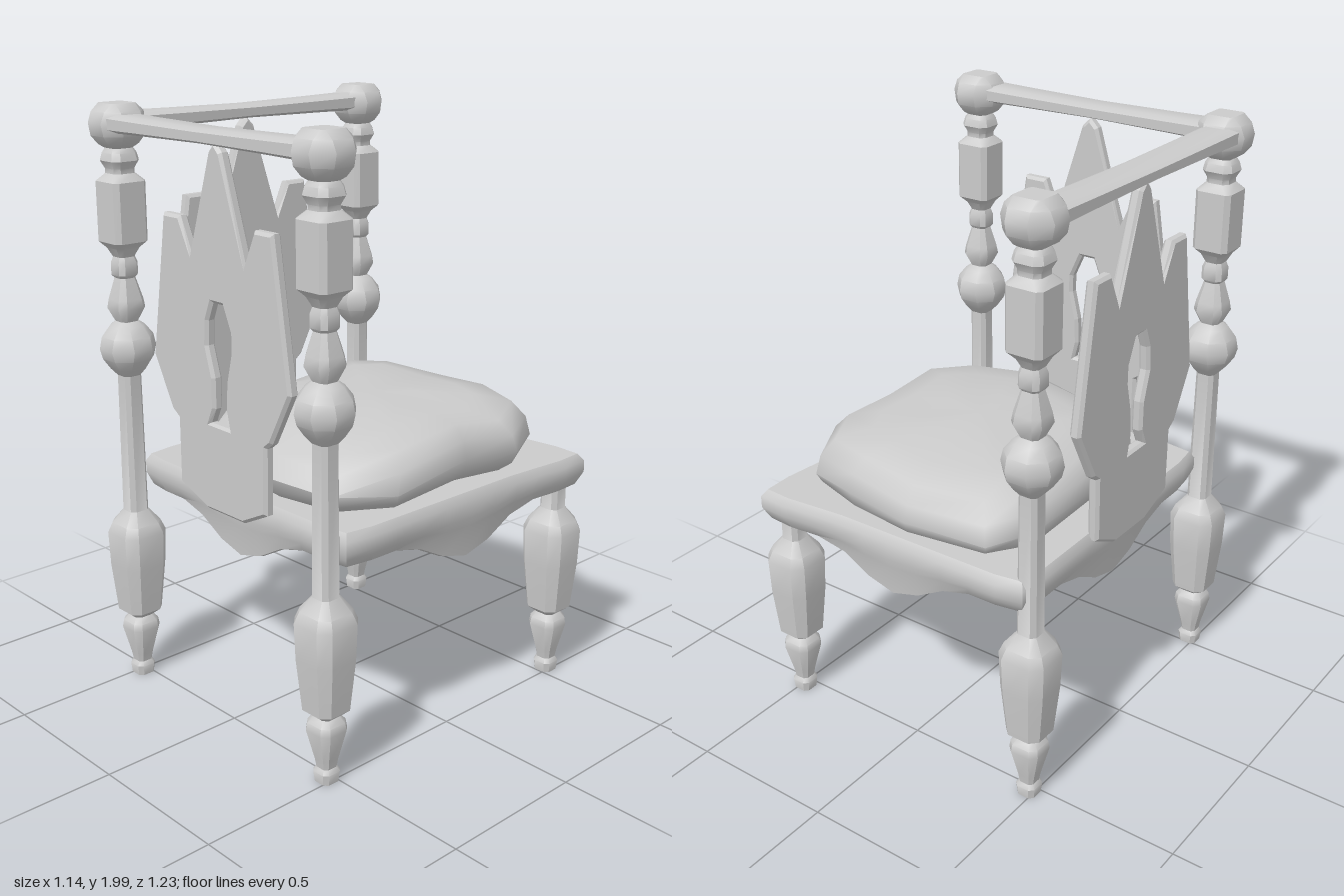
import * as THREE from 'three';
import { toCreasedNormals } from 'three/addons/utils/BufferGeometryUtils.js';

const material = new THREE.MeshStandardMaterial({ color: 0xcccccc });

// Skin stacked rings of [x, y, z] points (counter-clockwise from above, bottom to top), with end caps
function loft(rings, crease = 0.7) {
  const n = rings[0].length, pos = rings.flat(2), idx = [];
  for (let r = 0; r < rings.length - 1; r++) {
    for (let i = 0; i < n; i++) {
      const a = r * n + i, b = r * n + (i + 1) % n;
      idx.push(a, b, b + n, a, b + n, a + n);
    }
  }
  [0, rings.length - 1].forEach((r, end) => {
    const c = pos.length / 3, ring = rings[r];
    for (let k = 0; k < 3; k++) pos.push(ring.reduce((s, p) => s + p[k], 0) / n);
    for (let i = 0; i < n; i++) {
      const a = r * n + i, b = r * n + (i + 1) % n;
      if (end) idx.push(a, b, c); else idx.push(b, a, c);
    }
  });
  const g = new THREE.BufferGeometry();
  g.setAttribute('position', new THREE.Float32BufferAttribute(pos, 3));
  g.setIndex(idx);
  return toCreasedNormals(g, crease);
}

// Square ring with chamfered corners
function square(y, rx, rz = rx, c = 0.6) {
  return [[1, c], [1, -c], [c, -1], [-c, -1], [-1, -c], [-1, c], [-c, 1], [c, 1]]
    .map(([x, z]) => [x * rx, y, z * rz]);
}

function add(parent, name, geometry) {
  const m = new THREE.Mesh(geometry, material);
  m.name = name;
  parent.add(m);
  return m;
}

// Turned profiles: height, half width, chamfer
const legProfile = [
  [0, 0.032], [0.035, 0.036], [0.05, 0.027], [0.08, 0.032], [0.18, 0.055], [0.205, 0.051],
  [0.225, 0.035], [0.25, 0.064], [0.42, 0.08], [0.54, 0.084], [0.575, 0.07], [0.62, 0.036],
];
const postProfile = [
  ...legProfile,
  [1.1, 0.033], [1.125, 0.055, 0.5], [1.16, 0.078, 0.45], [1.195, 0.088, 0.4], [1.235, 0.078, 0.45],
  [1.27, 0.052, 0.5], [1.285, 0.032], [1.33, 0.053], [1.36, 0.048], [1.43, 0.029], [1.44, 0.037],
  [1.48, 0.037], [1.5, 0.03], [1.53, 0.046], [1.55, 0.063, 0.75], [1.745, 0.063, 0.75], [1.77, 0.04],
  [1.785, 0.04], [1.81, 0.053], [1.835, 0.047], [1.85, 0.038],
  [1.862, 0.058, 0.5], [1.89, 0.08, 0.45], [1.93, 0.088, 0.4], [1.965, 0.074, 0.5], [1.99, 0.046, 0.8],
];
const turned = profile => loft(profile.map(([y, r, c]) => square(y, r, r, c)));

// Pointed back panel with a keyhole and softened edges
function panelGeometry() {
  const s = new THREE.Shape([
    [-0.08, 0.735], [0.1, 0.735], [0.21, 0.79], [0.215, 1.01], [0.24, 1.03], [0.33, 1.2], [0.26, 1.67],
    [0.175, 1.67], [0.13, 1.56], [0.03, 1.88], [0, 1.91], [-0.03, 1.88], [-0.13, 1.56], [-0.18, 1.67],
    [-0.265, 1.67], [-0.34, 1.2], [-0.25, 1.03], [-0.22, 1.01], [-0.22, 0.79],
  ].map(p => new THREE.Vector2(...p)));
  s.holes.push(new THREE.Path([
    [-0.055, 1.03], [-0.03, 1.08], [-0.03, 1.18], [-0.06, 1.28], [-0.055, 1.36], [-0.03, 1.42], [0.02, 1.42],
    [0.055, 1.34], [0.055, 1.28], [0.03, 1.18], [0.025, 1.09], [0.04, 1.03],
  ].map(p => new THREE.Vector2(...p))));
  const bevel = 0.01;
  return new THREE.ExtrudeGeometry(s, {
    depth: 0.02, bevelThickness: bevel, bevelSize: bevel, bevelOffset: -bevel, bevelSegments: 1,
  }).translate(0, 0, -0.01);
}

// Seat slab with a rounded lip, scalloped apron, sagging underside and one flared corner
function seatGeometry() {
  const corners = [[0.535, 0.49], [0.54, -0.6], [-0.5, -0.59], [-0.49, 0.49]], edge = [], steps = 10;
  corners.forEach(([x, z], k) => {
    const [x2, z2] = corners[(k + 1) % 4];
    for (let i = 0; i < steps; i++) {
      const t = i / steps, s = Math.abs(2 * t - 1);
      const dip = s < 0.6 ? 0.5 + 0.5 * Math.cos(Math.PI * s / 0.6) : 0;
      const pull = i === 0 ? 0.975 : 1;
      const px = (x + (x2 - x) * t) * pull, pz = (z + (z2 - z) * t) * pull;
      const flare = 1 + 0.05 * Math.max(0, 1 - Math.hypot(px - 0.54, pz + 0.6) / 0.3);
      edge.push([px * flare, pz * flare, dip]);
    }
  });
  // scale, height, dip amount
  return loft([
    [0.5, 0.66, 0.03], [0.93, 0.69, 0.105], [0.965, 0.7, 0.11], [0.985, 0.725, 0.03],
    [1, 0.745, 0.02], [1, 0.785, 0], [0.97, 0.81, 0],
  ].map(([s, y, d]) => edge.map(([x, z, dip]) => [x * s, y - dip * d, z * s])));
}

// Plump uneven cushion, its front sloping back more than its other sides
function cushionGeometry() {
  const outline = [
    [-0.4, 0.18], [-0.28, 0.36], [-0.06, 0.43], [0.16, 0.47], [0.4, 0.43], [0.51, 0.25], [0.47, -0.1],
    [0.51, -0.3], [0.4, -0.5], [0.2, -0.56], [-0.05, -0.59], [-0.33, -0.55], [-0.42, -0.42], [-0.41, -0.1],
  ];
  const cx = 0.04, cz = -0.06;
  // scale, height, front slope
  return loft([
    [0.86, 0.8, 0], [0.97, 0.84, 0], [1, 0.88, 0], [0.97, 0.94, 0.03], [0.88, 0.99, 0.07],
    [0.65, 1.015, 0.06], [0.3, 1.03, 0.02],
  ].map(([s, y, slope], r) => outline.map(([x, z], i) => {
    const bump = r > 1 ? 0.012 * Math.sin(i * 2.1 + r * 0.5) * s : 0;
    const back = Math.max(0, z) / 0.47 * slope;
    return [cx + (x - cx) * s, y + bump, cz + (z - cz) * s - back];
  })), 0.9);
}

// Flat rail, slightly waisted, running along x
function railGeometry() {
  const g = loft([
    [-0.5, 0.03, 0.064], [-0.3, 0.026, 0.062], [0, 0.022, 0.06], [0.3, 0.026, 0.062], [0.5, 0.03, 0.064],
  ].map(([y, h, w]) => square(y, h, w, 0.6)));
  return g.rotateZ(-Math.PI / 2);
}

export function createModel() {
  const chair = new THREE.Group();
  chair.name = 'cornerChair';

  // Three tall posts and one short leg
  const post = turned(postProfile);
  [['backRightPost', -0.483, -0.525], ['frontRightPost', -0.483, 0.525], ['frontLeftPost', 0.483, 0.525]]
    .forEach(([name, x, z]) => add(chair, name, post).position.set(x, 0, z));
  add(chair, 'shortLeg', turned([...legProfile, [0.75, 0.036]])).position.set(0.485, 0, -0.535);

  // Seat and cushion
  add(chair, 'seat', seatGeometry());
  add(chair, 'cushion', cushionGeometry());

  // Back panels and top rails on the two closed sides
  const panel = panelGeometry(), rail = railGeometry();
  add(chair, 'frontPanel', panel).position.z = 0.505;
  add(chair, 'frontRail', rail).position.set(0, 1.93, 0.535);
  const sidePanel = add(chair, 'sidePanel', panel);
  sidePanel.position.x = -0.495;
  sidePanel.rotation.y = Math.PI / 2;
  const sideRail = add(chair, 'sideRail', rail);
  sideRail.position.set(-0.492, 1.93, 0);
  sideRail.rotation.y = Math.PI / 2;
  return chair;
}
